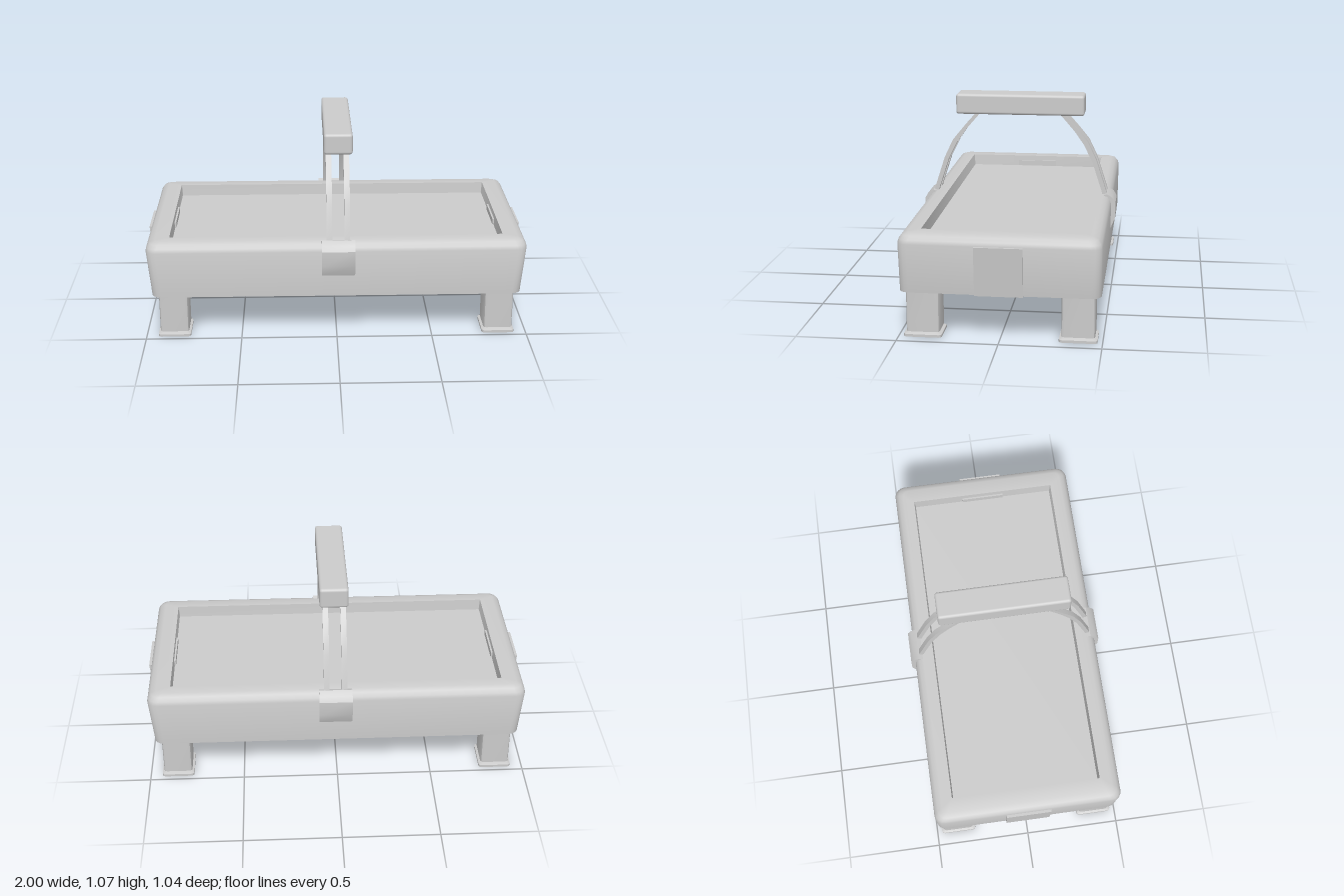
import * as THREE from 'three';
import { toCreasedNormals } from 'three/addons/utils/BufferGeometryUtils.js';
import { RoundedBoxGeometry } from 'three/addons/geometries/RoundedBoxGeometry.js';

const material = new THREE.MeshStandardMaterial({ color: 0xcccccc });

function add(parent, name, geometry, x = 0, y = 0, z = 0) {
  const mesh = new THREE.Mesh(geometry, material);
  mesh.name = name;
  mesh.position.set(x, y, z);
  parent.add(mesh);
  return mesh;
}

// Skin a stack of rounded rectangles [halfX, halfZ, y, cornerRadius], capped at both ends.
function loftRects(sections, steps = 4, crease = 0.6) {
  const rings = sections.map(([hx, hz, y, r]) => {
    const ring = [];
    [[1, 1], [-1, 1], [-1, -1], [1, -1]].forEach(([sx, sz], q) => {
      for (let i = 0; i <= steps; i++) {
        const a = (q + i / steps) * Math.PI / 2;
        ring.push([sx * (hx - r) + r * Math.cos(a), y, sz * (hz - r) + r * Math.sin(a)]);
      }
    });
    return ring;
  });
  const out = [];
  const n = rings[0].length;
  const tri = (...points) => points.forEach((p) => out.push(...p));
  for (let k = 0; k < rings.length - 1; k++) {
    for (let j = 0; j < n; j++) {
      const m = (j + 1) % n, lo = rings[k], hi = rings[k + 1];
      tri(lo[j], hi[j], lo[m]);
      tri(lo[m], hi[j], hi[m]);
    }
  }
  const first = rings[0], last = rings[rings.length - 1];
  for (let j = 0; j < n; j++) {
    const m = (j + 1) % n;
    tri([0, first[0][1], 0], first[j], first[m]);
    tri([0, last[0][1], 0], last[m], last[j]);
  }
  const geometry = new THREE.BufferGeometry();
  geometry.setAttribute('position', new THREE.Float32BufferAttribute(out, 3));
  return toCreasedNormals(geometry, crease);
}

// Extrude a [z, y] outline across x, centred on x = 0.
function sideProfile(points, width) {
  const shape = new THREE.Shape(points.map(([z, y]) => new THREE.Vector2(z, y)));
  const geometry = new THREE.ExtrudeGeometry(shape, { depth: width, bevelEnabled: false });
  geometry.translate(0, 0, -width / 2);
  geometry.rotateY(-Math.PI / 2);
  return toCreasedNormals(geometry, 0.5);
}

export function createModel() {
  const model = new THREE.Group();
  model.name = 'airHockeyTable';

  // Table body: tapered sides, rolled rim, sunken playing surface
  add(model, 'tableBody', loftRects([
    [0.962, 0.492, 0.235, 0.05],
    [0.985, 0.495, 0.482, 0.05],
    [0.98, 0.489, 0.502, 0.05],
    [0.966, 0.474, 0.521, 0.045],
    [0.94, 0.45, 0.531, 0.03],
    [0.866, 0.392, 0.531, 0.004],
    [0.862, 0.386, 0.47, 0.004],
  ]));

  for (const s of [1, -1]) {
    // End panels following the slanted ends
    const panel = new THREE.Shape([
      [0.93, 0.233], [0.974, 0.233], [0.999, 0.482], [0.93, 0.482],
    ].map(([x, y]) => new THREE.Vector2(s * x, y)));
    const panelGeometry = new THREE.ExtrudeGeometry(panel, { depth: 0.236, bevelEnabled: false });
    add(model, 'endPanel', panelGeometry, 0, 0, -0.118);

    // Goal slots inside the end walls
    add(model, 'goalSlot', new THREE.BoxGeometry(0.012, 0.03, 0.23), s * 0.861, 0.488, 0);
  }

  // Legs on flared feet
  const legGeometry = loftRects([[0.075, 0.082, 0.025, 0.015], [0.075, 0.082, 0.25, 0.015]], 2);
  const footGeometry = loftRects([
    [0.085, 0.094, 0, 0.015], [0.085, 0.094, 0.013, 0.015],
    [0.066, 0.072, 0.021, 0.012], [0.066, 0.072, 0.03, 0.012],
  ], 2);
  for (const x of [0.853, -0.853]) {
    for (const z of [0.381, -0.381]) {
      add(model, 'leg', legGeometry, x, 0, z);
      add(model, 'foot', footGeometry, x, 0, z);
    }
  }

  // Overhead scoreboard with its paired curved arms and clamps
  const overhead = new THREE.Group();
  overhead.name = 'overheadScoreboard';
  overhead.position.x = 0.008;
  model.add(overhead);
  add(overhead, 'scoreboard', new RoundedBoxGeometry(0.148, 0.11, 0.69, 3, 0.015), 0.003, 1.01, 0);

  const armGeometry = sideProfile([
    [0.475, 0.51], [0.465, 0.55], [0.412, 0.715], [0.366, 0.812], [0.308, 0.883], [0.235, 0.965],
    [0.212, 0.965], [0.294, 0.87], [0.342, 0.801], [0.39, 0.706], [0.442, 0.545], [0.45, 0.51],
  ].reverse(), 0.029);
  const clampGeometry = sideProfile([
    [0.46, 0.35], [0.494, 0.35], [0.518, 0.41], [0.518, 0.49],
    [0.502, 0.518], [0.472, 0.537], [0.452, 0.53],
  ], 0.172);
  for (const turn of [0, Math.PI]) {
    const side = new THREE.Group();
    side.name = 'armSet';
    side.rotation.y = turn;
    overhead.add(side);
    for (const x of [-0.046, 0.046]) add(side, 'arm', armGeometry, x);
    add(side, 'clamp', clampGeometry);
  }
  return model;
}
